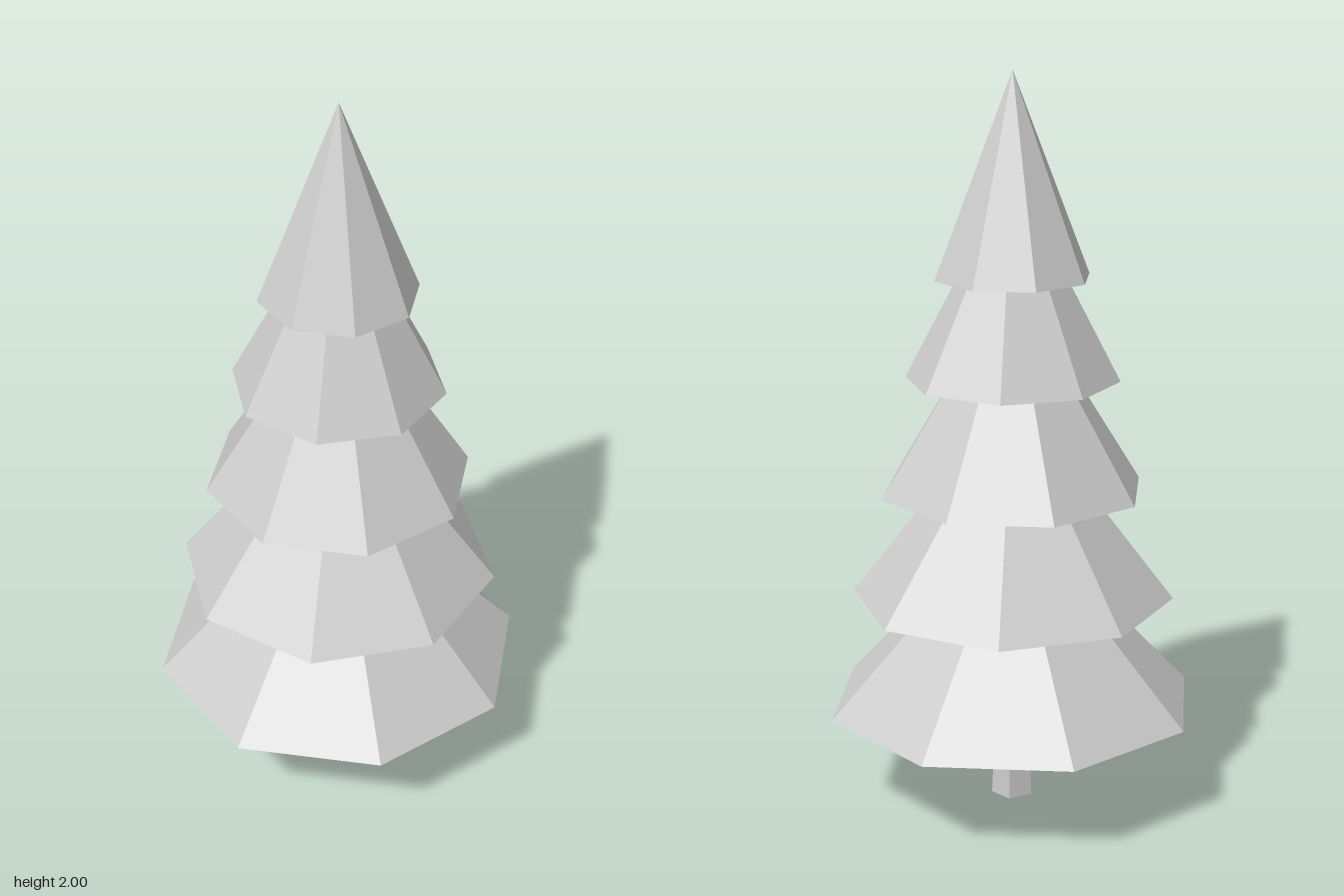
import * as THREE from 'three';

export function createModel() {
  const tree = new THREE.Group();
  tree.name = 'pineTree';
  const lightGrey = new THREE.MeshStandardMaterial({ color: 0xcccccc });
  lightGrey.name = 'lightGrey';

  // Faceted solid standing on y = bottom, turned about the vertical axis
  function addFacets(name, topRadius, radius, bottom, top, sides, turn) {
    const height = top - bottom;
    const smooth = new THREE.CylinderGeometry(topRadius, radius, height, sides, 1);
    const geometry = smooth.toNonIndexed(); // separate faces give flat facets
    geometry.computeVertexNormals();
    const mesh = new THREE.Mesh(geometry, lightGrey);
    mesh.name = name;
    mesh.position.y = bottom + height / 2;
    mesh.rotation.y = THREE.MathUtils.degToRad(turn);
    tree.add(mesh);
  }

  // Tapered five-sided trunk
  addFacets('trunk', 0.047, 0.058, 0, 0.29, 5, -90);

  // Eight-sided foliage cones, alternately turned by half a facet
  const tiers = [
    // radius, bottom, apex, turn in degrees
    [0.512, 0.277, 0.825, 0],
    [0.437, 0.583, 1.15, 22.5],
    [0.362, 0.885, 1.465, -0.8],
    [0.287, 1.188, 1.74, 20.9],
    [0.212, 1.462, 2, -1.5],
  ];
  tiers.forEach(([radius, bottom, apex, turn], i) =>
    addFacets(`foliageTier${i + 1}`, 0, radius, bottom, apex, 8, turn));

  return tree;
}
